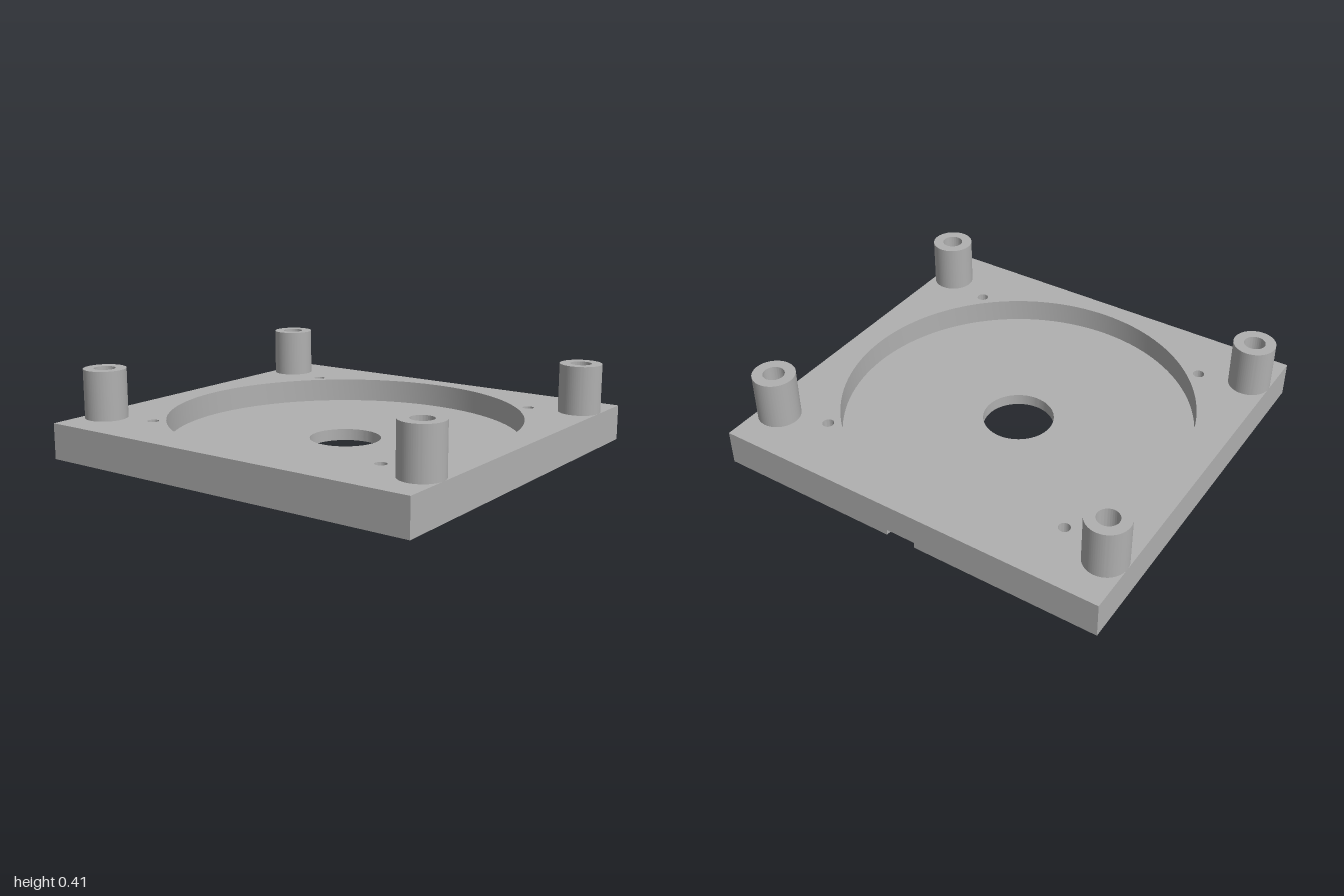
import * as THREE from 'three';
import { toCreasedNormals } from 'three/addons/utils/BufferGeometryUtils.js';

const W = 1, D = 0.965;                                  // plate half sizes
const FLOOR = 0.057, TOP = 0.175, POST_TOP = 0.415;      // heights
const SLOT = { half: 0.075, step: 0.72, end: 0.545 };    // cable slot under the back edge

const grey = new THREE.MeshStandardMaterial({ color: 0xb0b0b0 });
grey.name = 'grey';

// Shapes are drawn in plan with the back edge at +y
const circle = (x, y, r) => new THREE.Path().absarc(x, y, r, 0, Math.PI * 2, true);
const polygon = (pts) => pts.map(([x, y]) => new THREE.Vector2(x, y));
const corners = (x, y, r) => [[1, 1], [-1, 1], [-1, -1], [1, -1]].map(([a, b]) => circle(a * x, b * y, r));

// Flat layer from y0 to y1 with holes
function layer(name, shape, holes, y0, y1) {
  shape.holes.push(...holes);
  const geo = new THREE.ExtrudeGeometry(shape, { depth: y1 - y0, bevelEnabled: false, curveSegments: 64 });
  geo.rotateX(-Math.PI / 2);
  geo.translate(0, y0, 0);
  const mesh = new THREE.Mesh(toCreasedNormals(geo, 0.5), grey);
  mesh.name = name;
  return mesh;
}

function plateShape(slotted) {
  const pts = [[-W, -D], [W, -D], [W, D]];
  if (slotted) {
    const { half, end } = SLOT;
    pts.push([half, D], [half, end], [-half, end], [-half, D]);
  }
  pts.push([-W, D]);
  return new THREE.Shape(polygon(pts));
}

export function createModel() {
  const group = new THREE.Group();
  group.name = 'mountingPlate';

  const bores = () => corners(0.897, 0.725, 0.052);
  const floorHoles = () => [...bores(), circle(0, 0, 0.175), circle(0.2, 0.88, 0.028), circle(-0.2, 0.88, 0.028)];
  const { half, step, end } = SLOT;
  const pocket = new THREE.Path(polygon([[-half, end], [-half, step], [half, step], [half, end]]));

  // Floor, with the stepped cable slot cut from below
  group.add(
    layer('slottedFloor', plateShape(true), floorHoles(), 0, 0.03),
    layer('pocketFloor', plateShape(false), [...floorHoles(), pocket], 0.03, 0.045),
    layer('recessFloor', plateShape(false), floorHoles(), 0.045, FLOOR),
  );

  // Rim around the round recess, with small screw holes
  group.add(layer('rim', plateShape(false),
    [...bores(), circle(0, 0, 0.865), ...corners(0.655, 0.655, 0.028)], FLOOR, TOP));

  // Hollow corner posts
  for (const x of [-0.897, 0.897]) {
    for (const y of [-0.725, 0.725]) {
      const ring = new THREE.Shape().absarc(x, y, 0.103, 0, Math.PI * 2, false);
      group.add(layer('post', ring, [circle(x, y, 0.052)], TOP, POST_TOP));
    }
  }
  return group;
}
